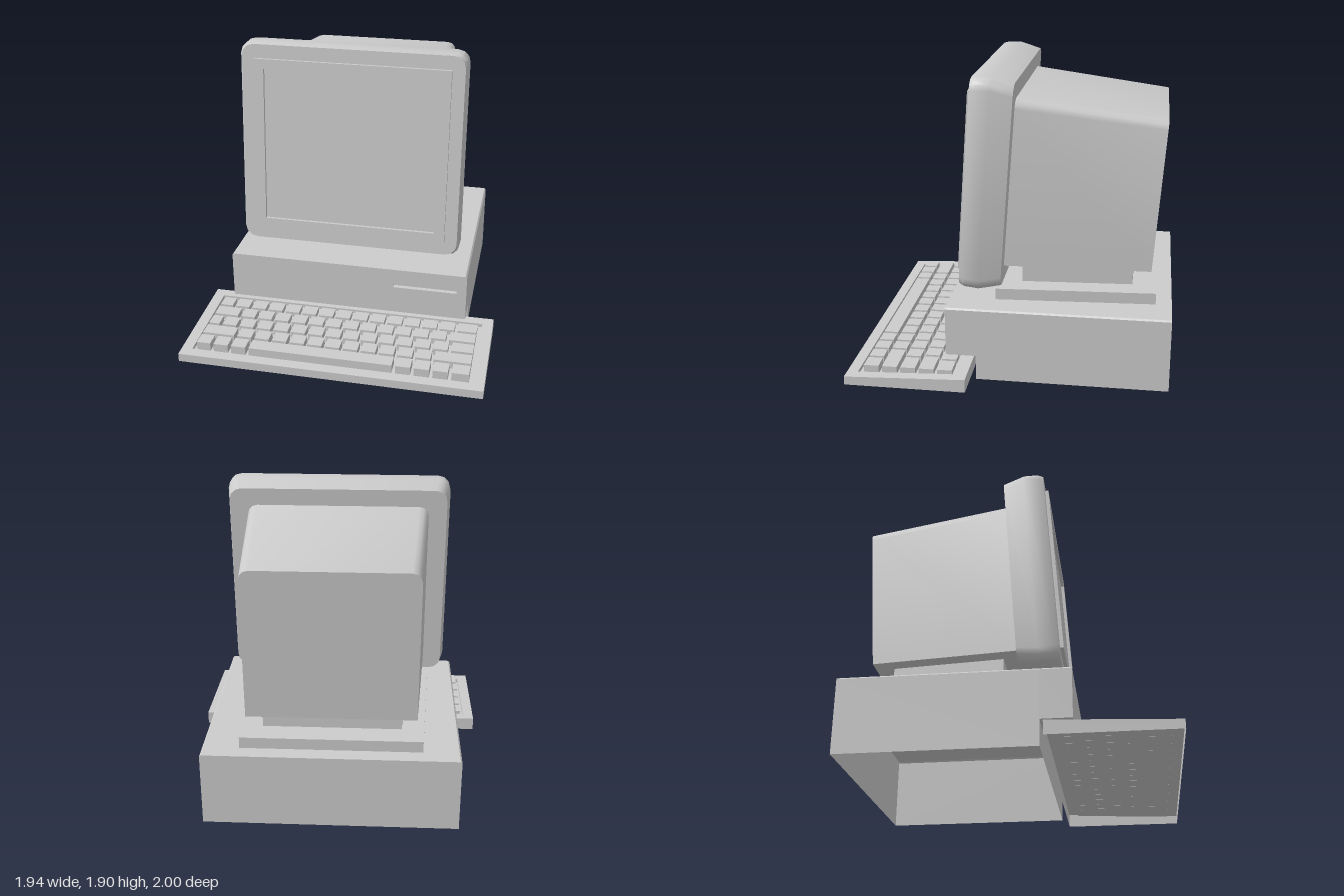
import * as THREE from 'three';
import { toCreasedNormals } from 'three/addons/utils/BufferGeometryUtils.js';

const solid = new THREE.MeshStandardMaterial({ color: 0xcccccc });
const sheet = new THREE.MeshStandardMaterial({ color: 0xcccccc, side: THREE.DoubleSide });

function add(parent, name, geometry, material = solid, x = 0, y = 0, z = 0) {
  const mesh = new THREE.Mesh(geometry, material);
  mesh.name = name;
  mesh.position.set(x, y, z);
  parent.add(mesh);
  return mesh;
}

// Skin between matching outlines [[x, y], ...] placed at rising z; closed ones get end caps
function loft(sections, closed = true) {
  const n = sections[0].points.length, pos = [], index = [];
  sections.forEach(s => s.points.forEach(p => pos.push(p[0], p[1], s.z)));
  for (let k = 0; k < sections.length - 1; k++) {
    for (let i = 0; i < (closed ? n : n - 1); i++) {
      const a = k * n + i, b = k * n + (i + 1) % n;
      index.push(a, b, b + n, a, b + n, a + n);
    }
  }
  const last = (sections.length - 1) * n;
  for (let i = 1; closed && i < n - 1; i++) {
    index.push(0, i + 1, i, last, last + i, last + i + 1);
  }
  const geo = new THREE.BufferGeometry();
  geo.setAttribute('position', new THREE.Float32BufferAttribute(pos, 3));
  geo.setIndex(index);
  return toCreasedNormals(geo, 0.6);
}

// Counter-clockwise rectangle outline, with rounded top and bottom corners
function outline(w, h, rTop, rBottom, steps) {
  const points = [];
  [[1, 1, rTop], [-1, 1, rTop], [-1, -1, rBottom], [1, -1, rBottom]].forEach(([sx, sy, r], q) => {
    for (let i = 0; i <= (r ? steps : 0); i++) {
      const a = (q + i / steps) * Math.PI / 2;
      points.push([sx * (w - r) + r * Math.cos(a), sy * (h - r) + r * Math.sin(a)]);
    }
  });
  return points;
}

function rectPath(target, x0, y0, x1, y1) {
  target.moveTo(x0, y0).lineTo(x1, y0).lineTo(x1, y1).lineTo(x0, y1).closePath();
  return target;
}

function rectWithHole(outer, inner) {
  const shape = rectPath(new THREE.Shape(), ...outer);
  shape.holes.push(rectPath(new THREE.Path(), ...inner));
  return shape;
}

// Keeps only the triangles whose three corners do not all pass the test
function dropFaces(geometry, test) {
  const p = geometry.toNonIndexed().getAttribute('position'), out = [];
  for (let i = 0; i < p.count; i += 3) {
    const tri = [0, 1, 2].map(k => new THREE.Vector3().fromBufferAttribute(p, i + k));
    if (!tri.every(test)) tri.forEach(v => out.push(v.x, v.y, v.z));
  }
  const geo = new THREE.BufferGeometry();
  geo.setAttribute('position', new THREE.Float32BufferAttribute(out, 3));
  geo.computeVertexNormals();
  return geo;
}

// System case: a shell open underneath, with its front overhanging the keyboard
function buildCase() {
  const g = new THREE.Group();
  g.name = 'systemCase';
  const W = 0.79, H = 0.475, c = 0.01;
  const arch = y => [[W, y], [W, H - c], [W - c, H], [c - W, H], [-W, H - c], [-W, y]];
  add(g, 'caseShell', loft([{ z: -1, points: arch(0) }, { z: 0.2, points: arch(0) }], false), sheet);
  add(g, 'caseOverhang', loft([{ z: 0.2, points: arch(0.16) }, { z: 0.39, points: arch(0.16) }], false), sheet);
  const wall = y => new THREE.Shape(arch(y).map(p => new THREE.Vector2(...p)));
  add(g, 'caseBack', new THREE.ShapeGeometry(wall(0)), sheet, 0, 0, -1);
  const front = wall(0.16);
  front.holes.push(rectPath(new THREE.Path(), 0.31, 0.345, 0.725, 0.372));
  add(g, 'caseFront', new THREE.ShapeGeometry(front), sheet, 0, 0, 0.39);
  add(g, 'recessWall', new THREE.PlaneGeometry(2 * W, 0.16), sheet, 0, 0.08, 0.2);
  add(g, 'recessCeiling', new THREE.PlaneGeometry(2 * W, 0.19).rotateX(Math.PI / 2), sheet, 0, 0.16, 0.295);
  const pocket = dropFaces(new THREE.BoxGeometry(0.415, 0.027, 0.03), v => v.z > 0.01);
  add(g, 'driveSlot', pocket, sheet, 0.5175, 0.3585, 0.375);
  return g;
}

// Stand: tapered plate and neck
function buildStand() {
  const g = new THREE.Group();
  g.name = 'monitorStand';
  const block = (y0, y1, zBack, wBack, zFront, wFront) => {
    const at = (z, w) => ({ z, points: [[w, y0], [w, y1], [-w, y1], [-w, y0]] });
    return loft([at(zBack, wBack), at(zFront, wFront)]);
  };
  add(g, 'standPlate', block(0.474, 0.547, -0.9, 0.56, 0.1, 0.615));
  add(g, 'standNeck', block(0.54, 0.7, -0.75, 0.43, -0.05, 0.47));
  return g;
}

// Monitor: built upright, then leaned back
function buildMonitor() {
  const g = new THREE.Group();
  g.name = 'monitor';
  g.position.set(0, 1.23, 0.14);
  g.rotation.x = -0.07;
  add(g, 'monitorHousing', loft([
    { z: -1.042, points: outline(0.52, 0.483, 0.06, 0, 3) },
    { z: -0.12, points: outline(0.58, 0.532, 0.06, 0, 3) },
  ]));
  add(g, 'bezel', loft([
    { z: -0.126, points: outline(0.695, 0.641, 0.075, 0.075, 3) },
    { z: 0.01, points: outline(0.72, 0.67, 0.075, 0.075, 3) },
    { z: 0.1, points: outline(0.72, 0.665, 0.075, 0.075, 3) },
    { z: 0.133, points: outline(0.705, 0.655, 0.075, 0.075, 3) },
  ]));
  const frame = rectWithHole([-0.625, -0.567, 0.625, 0.567], [-0.56, -0.505, 0.56, 0.505]);
  add(g, 'screenFrame', new THREE.ExtrudeGeometry(frame, { depth: 0.026, bevelEnabled: false }), solid, 0, 0, 0.13);
  add(g, 'screen', new THREE.PlaneGeometry(1.12, 1.01), solid, 0, 0, 0.135);
  return g;
}

// Keyboard: sloping tray open underneath, with a sunken well of keys
function buildKeyboard() {
  const g = new THREE.Group();
  g.name = 'keyboard';
  const rim = z => 0.055 + (1 - z) * 0.04;
  const depth = 0.025;
  const shape = rectWithHole([-0.97, -1, 0.97, -0.237], [-0.9, -0.93, 0.9, -0.305]);
  let tray = new THREE.ExtrudeGeometry(shape, { depth: 1, bevelEnabled: false }).rotateX(-Math.PI / 2);
  tray = dropFaces(tray, v => v.y < 0.01);
  const p = tray.getAttribute('position');
  for (let i = 0; i < p.count; i++) {
    const z = p.getZ(i), inWell = Math.abs(p.getX(i)) < 0.95 && z > 0.27 && z < 0.96;
    p.setY(i, p.getY(i) > 0.5 ? rim(z) : inWell ? rim(z) - depth : 0);
  }
  tray.computeVertexNormals();
  add(g, 'keyboardTray', tray, sheet);
  const floor = new THREE.PlaneGeometry(1.8, 0.625).rotateX(-Math.PI / 2 + Math.atan(0.04));
  add(g, 'keyWell', floor, sheet, 0, rim(0.6175) - depth, 0.6175);

  // Each row is a list of key widths; the last key reaches the right end
  const gap = 0.022, key = 0.095;
  const plain = n => Array(n).fill(key);
  const rows = [
    [0.085, ...plain(13)],
    [0.16, ...plain(12)],
    [0.07, ...plain(13)],
    [0.21, ...plain(11)],
    [0.09, key, key, 0.925, ...plain(3)],
  ];
  rows.forEach((widths, r) => {
    const z = 0.384 + r * 0.1172, bottom = rim(z) - depth, top = 0.091;
    let x = -0.88;
    const place = w => {
      add(g, 'key', new THREE.BoxGeometry(w, top - bottom, 0.095), solid, x + w / 2, (top + bottom) / 2, z);
      x += w + gap;
    };
    widths.forEach(place);
    place(0.872 - x);
  });
  return g;
}

export function createModel() {
  const model = new THREE.Group();
  model.name = 'desktopComputer';
  model.add(buildCase(), buildStand(), buildMonitor(), buildKeyboard());
  return model;
}
